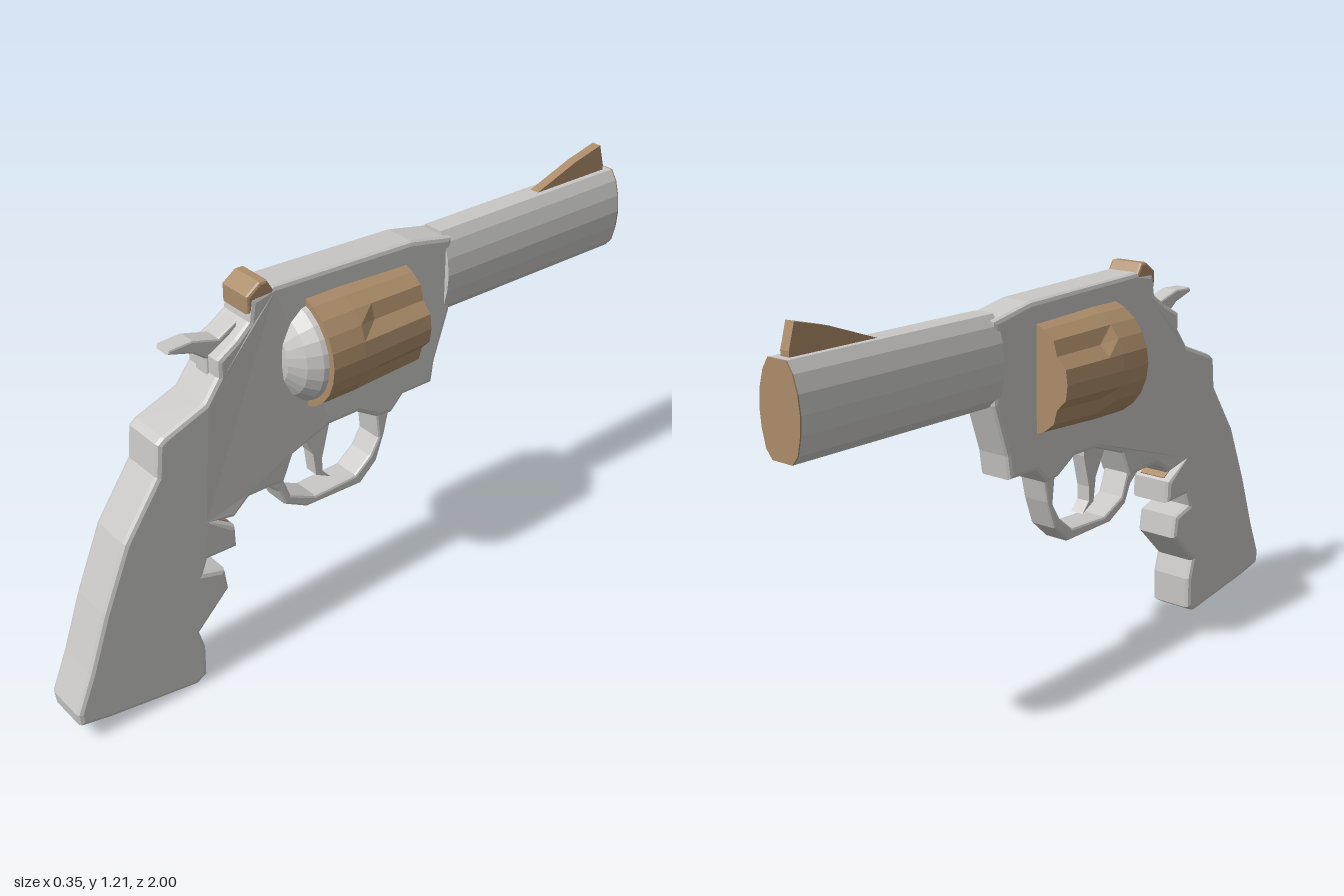
import * as THREE from 'three';

const steel = new THREE.MeshStandardMaterial({ color: 0xc8c7c5 });
steel.name = 'pale grey';
const tan = new THREE.MeshStandardMaterial({ color: 0xab8c69 });
tan.name = 'tan';

function faceted(geo) {
  const g = geo.index ? geo.toNonIndexed() : geo;
  g.computeVertexNormals();
  return g;
}

// Side profile of [z, y] points, extruded across x with an optional bevel
function slab(points, halfWidth, bevel = 0) {
  const shape = new THREE.Shape(points.map(([z, y]) => new THREE.Vector2(-z, y)));
  const geo = new THREE.ExtrudeGeometry(shape, {
    depth: 2 * (halfWidth - bevel), bevelEnabled: bevel > 0, bevelSegments: 2,
    bevelSize: bevel, bevelThickness: bevel, bevelOffset: -bevel,
  });
  geo.translate(0, 0, -(halfWidth - bevel));
  geo.rotateY(Math.PI / 2);
  return geo;
}

export function createModel() {
  const group = new THREE.Group();
  const add = (name, geo, mat) => {
    const mesh = new THREE.Mesh(faceted(geo), mat);
    mesh.name = name;
    group.add(mesh);
    return mesh;
  };

  // Frame and grip in one outline; the grip is wider than the frame
  const body = slab([
    [-0.32, 0.88], [-0.32, 1.11], [-0.17, 1.14], [0.30, 1.155], [0.375, 1.14], [0.385, 1.08],
    [0.43, 1.045], [0.495, 1.01], [0.495, 0.96], [0.54, 0.90], [0.67, 0.85], [0.69, 0.835],
    [0.70, 0.74], [0.81, 0.58], [0.89, 0.39], [0.95, 0.22], [1.0, 0.10], [0.995, 0.06],
    [0.90, 0.04], [0.62, 0.0], [0.585, 0.02], [0.583, 0.12], [0.60, 0.18], [0.495, 0.285],
    [0.505, 0.355], [0.575, 0.375], [0.56, 0.415], [0.46, 0.41], [0.462, 0.48], [0.54, 0.53],
    [0.465, 0.51], [0.41, 0.55], [0.345, 0.545], [0.285, 0.54], [0.25, 0.62], [0.12, 0.665],
    [0.02, 0.665], [-0.055, 0.62], [-0.105, 0.615], [-0.15, 0.66], [-0.26, 0.66], [-0.27, 0.73],
  ], 0.072, 0.014);
  const p = body.attributes.position;
  for (let i = 0; i < p.count; i++) {
    const k = THREE.MathUtils.smoothstep(p.getZ(i), 0.3, 0.52);
    p.setX(i, p.getX(i) * THREE.MathUtils.lerp(0.78, 1, k));
  }
  add('frameAndGrip', body, steel);

  // Trigger guard loop
  add('triggerGuard', slab([
    [0.345, 0.55], [0.30, 0.51], [0.275, 0.455], [0.20, 0.415], [0.0, 0.41], [-0.06, 0.465],
    [-0.09, 0.55], [-0.108, 0.63], [-0.055, 0.63], [-0.065, 0.54], [-0.035, 0.49],
    [0.02, 0.445], [0.17, 0.44], [0.255, 0.48], [0.285, 0.56],
  ], 0.045, 0.008), steel);

  add('trigger', slab([
    [0.20, 0.66], [0.195, 0.635], [0.157, 0.565], [0.147, 0.49], [0.095, 0.463],
    [0.125, 0.495], [0.125, 0.54], [0.10, 0.64], [0.10, 0.68],
  ], 0.022), steel);

  add('hammer', slab([
    [0.40, 1.08], [0.46, 1.046], [0.54, 1.068], [0.61, 1.065], [0.615, 1.052],
    [0.54, 1.03], [0.50, 1.0], [0.50, 0.95], [0.42, 0.97],
  ], 0.028, 0.006), steel);

  add('rearSight', slab([
    [0.387, 1.10], [0.387, 1.15], [0.345, 1.18], [0.322, 1.18], [0.30, 1.145], [0.31, 1.10],
  ], 0.056, 0.008), tan);

  add('frontSight', slab([
    [-0.67, 1.115], [-0.85, 1.18], [-0.955, 1.207], [-0.975, 1.14], [-0.975, 1.115],
  ], 0.015), tan);

  // Barrel with a tall oval section and a muzzle plate
  const half = [[0.035, 0.875], [0.056, 0.90], [0.068, 0.95], [0.072, 1.0],
    [0.066, 1.05], [0.052, 1.095], [0.032, 1.125]];
  const section = [...half, ...half.map(([x, y]) => [-x, y]).reverse()];
  const oval = (depth) => new THREE.ExtrudeGeometry(
    new THREE.Shape(section.map(([x, y]) => new THREE.Vector2(x, y))),
    { depth, bevelEnabled: false });
  add('barrel', oval(0.7), steel).position.z = -0.996;
  add('muzzle', oval(0.004), tan).position.z = -1;

  // Chamber drum with six shallow flutes at its front
  const turned = (profile) => {
    const geo = new THREE.LatheGeometry(profile.map(([r, z]) => new THREE.Vector2(r, z)), 24);
    return geo.rotateX(Math.PI / 2);
  };
  const drum = turned([[0, -0.15], [0.165, -0.15], [0.172, 0.03], [0.175, 0.09], [0.175, 0.2], [0, 0.2]]);
  const d = drum.attributes.position;
  for (let i = 0; i < d.count; i++) {
    const angle = Math.atan2(d.getY(i), d.getX(i));
    if (d.getZ(i) < 0.05 && Math.cos(6 * angle) < -0.9) {
      d.setXY(i, d.getX(i) * 0.9, d.getY(i) * 0.9);
    }
  }
  add('drum', drum, tan).position.y = 0.922;

  // Rounded shield behind the drum
  add('drumShield', turned([[0, 0.19], [0.158, 0.19], [0.152, 0.215], [0.125, 0.25],
    [0.08, 0.28], [0, 0.297]]), steel).position.y = 0.922;

  // Worn patches on the grip: toe and upper finger groove
  const toe = add('gripToePatch', new THREE.CylinderGeometry(0.055, 0.055, 0.006, 10), tan);
  toe.position.set(0, 0.008, 0.68);
  toe.rotation.x = -0.142;
  const groove = add('gripGroovePatch', new THREE.BoxGeometry(0.09, 0.006, 0.07), tan);
  groove.position.set(0, 0.505, 0.501);
  groove.rotation.x = -0.57;

  return group;
}
